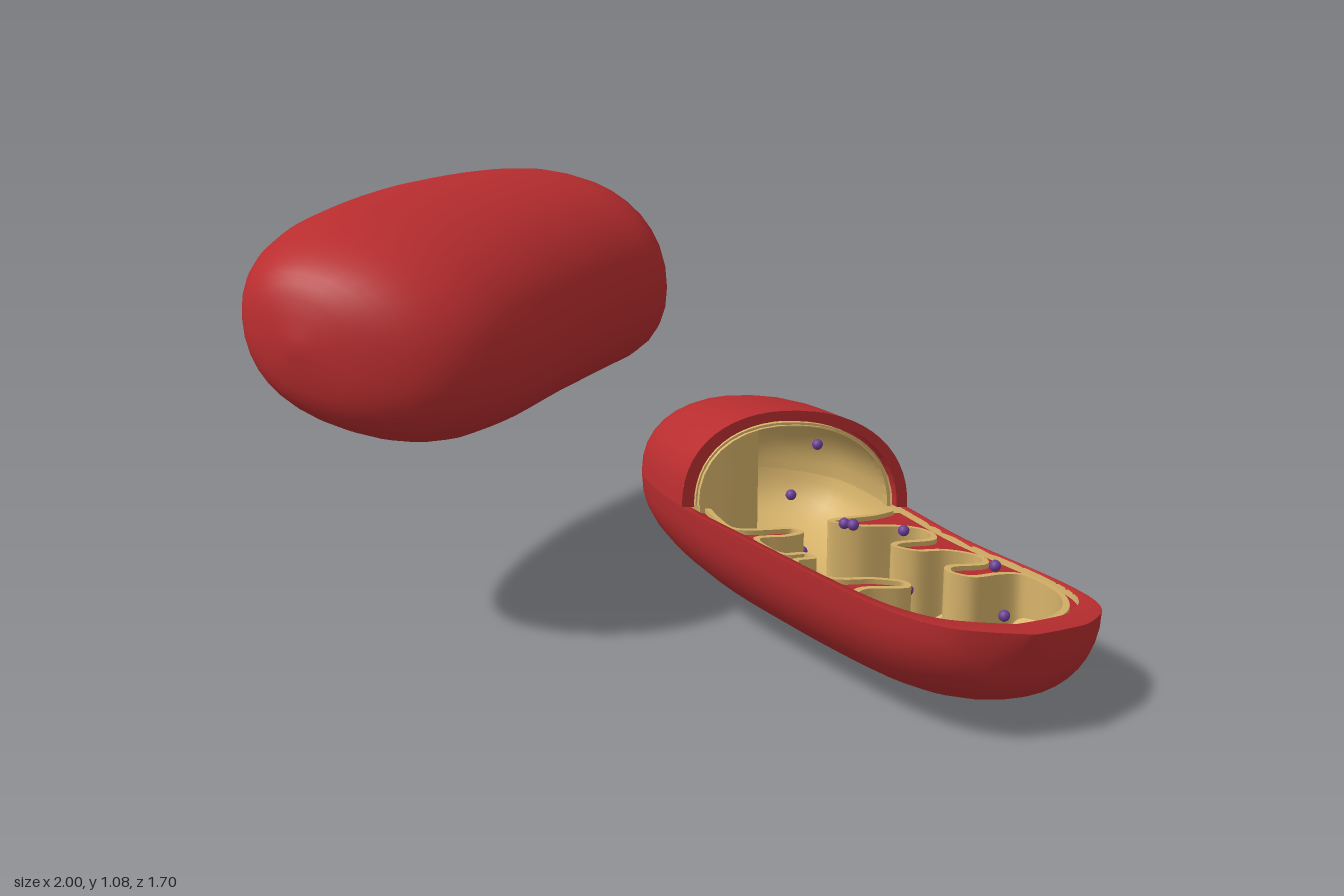
import * as THREE from 'three';
import { mergeVertices } from 'three/addons/utils/BufferGeometryUtils.js';

const mat = (name, color) => new THREE.MeshStandardMaterial({ name, color, side: THREE.DoubleSide });

// Smooth surface through a rows x cols grid of points
function grid(rows, cols, point) {
  const pos = [], idx = [];
  for (let i = 0; i <= rows; i++) for (let j = 0; j <= cols; j++) pos.push(...point(i, j));
  for (let i = 0; i < rows; i++) for (let j = 0; j < cols; j++) {
    const a = i * (cols + 1) + j, c = a + cols + 1;
    idx.push(a, a + 1, c, a + 1, c + 1, c);
  }
  let g = new THREE.BufferGeometry();
  g.setAttribute('position', new THREE.Float32BufferAttribute(pos, 3));
  g.setIndex(idx);
  g = mergeVertices(g, 1e-5);
  g.computeVertexNormals();
  return g;
}

// Bean-shaped body from stations [z, side x, other side x, half height]
function makeBody(table, midY, midX) {
  const a = new THREE.SplineCurve(table.map(r => new THREE.Vector2(r[0], r[1])));
  const b = new THREE.SplineCurve(table.map(r => new THREE.Vector2(r[2], r[3])));
  const section = t => {
    const p = a.getPoint(t), q = b.getPoint(t);
    return { z: p.x, l: p.y, r: q.x, c: (p.y + q.x) / 2, w: (q.x - p.y) / 2, h: q.y };
  };
  const round = v => Math.sign(v) * Math.pow(Math.abs(v), 0.9);
  const planeY = x => midY - 0.16 * (x - midX); // the body leans slightly to one side
  // k scales the width and length, kh the height, around the cut at z = cut
  const point = (t, ang, k = 1, kh = k, cut = 0) => {
    const s = section(t);
    const x = s.c + s.w * k * round(Math.cos(ang));
    return [x, planeY(x) + s.h * kh * round(Math.sin(ang)), cut + (s.z - cut) * k];
  };
  // Height of the scaled surface over the middle plane
  const heightAt = (x, z, k, kh, cut) => {
    let s = section(0), best = 9;
    for (let i = 0; i <= 200; i++) {
      const q = section(i / 200), d = Math.abs(cut + (q.z - cut) * k - z);
      if (d < best) { best = d; s = q; }
    }
    const u = Math.min(1, Math.abs(x - s.c) / Math.max(s.w * k, 1e-4));
    return s.h * kh * Math.pow(1 - Math.pow(u, 2.22), 0.45);
  };
  const loft = (t0, t1, a0, a1, rows, cols, k, kh, cut) => grid(rows, cols, (i, j) =>
    point(t0 + (t1 - t0) * i / rows, a0 + (a1 - a0) * j / cols, k, kh, cut));
  return { section, planeY, point, heightAt, loft };
}

export function createModel() {
  const red = mat('outer red', 0xb92d2f);
  const tan = mat('inner tan', 0xd8b46b);
  const purple = mat('granule purple', 0x6b3f96);
  const model = new THREE.Group();
  const add = (parent, name, geometry, material) => {
    const m = new THREE.Mesh(geometry, material);
    m.name = name;
    parent.add(m);
    return m;
  };
  const PI = Math.PI;

  // Closed capsule
  const whole = makeBody([
    [-0.675, -0.48, -0.48, 0], [-0.64, -0.66, -0.33, 0.14], [-0.57, -0.74, -0.245, 0.215],
    [-0.45, -0.80, -0.18, 0.255], [-0.25, -0.845, -0.19, 0.27], [0, -0.89, -0.195, 0.272],
    [0.3, -0.89, -0.19, 0.265], [0.5, -0.86, -0.215, 0.245], [0.62, -0.81, -0.30, 0.20],
    [0.69, -0.73, -0.44, 0.13], [0.72, -0.60, -0.60, 0],
  ], 0.803, -0.54);
  const closed = new THREE.Group();
  closed.name = 'closedCapsule';
  closed.rotation.y = -0.411;
  add(closed, 'capsuleSkin', whole.loft(0, 1, 0, 2 * PI, 36, 32), red);
  model.add(closed);

  // Open capsule: complete behind the cut, lower half only in front of it
  const CUT = 0.13, TC = 0.4, TURN = 0.467;
  const body = makeBody([
    [-0.335, 0.38, 0.38, 0], [-0.31, 0.22, 0.50, 0.12], [-0.24, 0.08, 0.62, 0.19],
    [-0.13, 0.015, 0.675, 0.235], [CUT, -0.014, 0.668, 0.258], [0.42, 0.012, 0.65, 0.265],
    [0.75, 0.045, 0.685, 0.255], [0.92, 0.08, 0.66, 0.22], [1.02, 0.145, 0.55, 0.165],
    [1.06, 0.23, 0.44, 0.10], [1.085, 0.34, 0.34, 0],
  ], 0.272, 0.335);
  const open = new THREE.Group();
  open.name = 'openCapsule';
  open.rotation.y = TURN;
  model.add(open);
  add(open, 'backSkin', body.loft(0, TC, 0, PI, 16, 18), red);
  add(open, 'lowerSkin', body.loft(0, 1, PI, 2 * PI, 40, 18), red);

  // Rim along the lower half, with a small step down inside
  for (const ang of [PI, 0]) {
    const cols = [[1, 0], [0.93, 0], [0.93, -0.015]];
    add(open, 'lowerRim', grid(30, 2, (i, j) => {
      const p = body.point(TC + (1 - TC) * i / 30, ang, cols[j][0], 1, CUT);
      return [p[0], p[1] + cols[j][1], p[2]];
    }), red);
  }

  // Arched rim where the dome is cut, and the tan lip within it
  const arch = (name, cols, material) => add(open, name, grid(28, cols.length - 1, (i, j) => {
    const p = body.point(TC, PI * i / 28, cols[j][0], cols[j][0], CUT);
    return [p[0], p[1], CUT + cols[j][1]];
  }).toNonIndexed(), material).geometry.computeVertexNormals();
  arch('archRim', [[1, 0], [0.9, 0], [0.9, -0.025], [0.84, -0.025]], red);
  arch('archLip', [[0.87, -0.025], [0.87, -0.01], [0.83, -0.01], [0.83, -0.03]], tan);
  add(open, 'vault', body.loft(0, TC, 0, PI, 14, 18, 0.86, 0.85, CUT), tan);
  add(open, 'trough', body.loft(0, 1, PI, 2 * PI, 40, 18, 0.93, 0.8, CUT), tan);

  // Folded membrane outline in plan, as [x, z] before the body's turn
  const plan = [
    [.12, .09], [.14, .17], [.17, .24], [.23, .22], [.31, .17], [.345, .2], [.3, .26], [.23, .31],
    [.25, .38], [.28, .41], [.33, .38], [.355, .42], [.31, .46], [.32, .51], [.38, .56], [.47, .52],
    [.55, .515], [.55, .57], [.45, .62], [.43, .69], [.52, .77], [.62, .79], [.78, .73], [.89, .6],
    [.92, .46], [.87, .34], [.81, .35], [.73, .41], [.67, .39], [.68, .33], [.77, .27], [.77, .21],
    [.7, .2], [.62, .24], [.56, .22], [.58, .17], [.67, .1], [.67, .03], [.61, .02], [.5, .07],
    [.42, .06], [.45, .01], [.54, -.07], [.6, -.146],
  ];
  const co = Math.cos(TURN), si = Math.sin(TURN);
  const folds = new THREE.SplineCurve(plan.map(([x, z]) =>
    new THREE.Vector2(x * co - z * si, Math.max(CUT, x * si + z * co))));
  const N = 220, line = folds.getPoints(N);

  // Red deck between the rim and the folds
  const outline = [];
  for (let i = 0; i <= 30; i++) outline.push(body.point(TC + (1 - TC) * i / 30, PI, 0.97, 1, CUT));
  for (let i = 29; i >= 0; i--) outline.push(body.point(TC + (1 - TC) * i / 30, 0, 0.97, 1, CUT));
  const deck = new THREE.ShapeGeometry(new THREE.Shape(
    [...outline.map(p => new THREE.Vector2(p[0], p[2])), ...line.slice().reverse()]));
  const dp = deck.attributes.position;
  for (let i = 0; i < dp.count; i++) {
    const x = dp.getX(i), z = dp.getY(i);
    dp.setXYZ(i, x, body.planeY(x) - 0.016, z);
  }
  deck.computeVertexNormals();
  add(open, 'foldDeck', deck, red);

  // Tan lip and wall that follow the folds down to the trough
  const strip = (name, cols) => add(open, name, grid(N, cols.length - 1, (i, j) => {
    const p = line[i], d = folds.getTangent(i / N), [off, y] = cols[j];
    const x = p.x - d.y * off, z = Math.max(CUT, p.y + d.x * off);
    const drop = y === 'floor' ? -Math.max(0.02, body.heightAt(p.x, p.y, 0.93, 0.8, CUT)) : y;
    return [x, body.planeY(x) + drop, z];
  }), tan);
  strip('foldLipSide', [[0.016, -0.018], [0.016, -0.004]]);
  strip('foldLip', [[0.016, -0.004], [0, -0.004]]);
  strip('foldWall', [[0, -0.004], [0, 'floor']]);

  // Curved fold hanging under the dome
  const bend = new THREE.SplineCurve([[.06, .09], [.16, .085], [.23, .07], [.265, .02], [.26, -.07], [.2, -.17]]
    .map(p => new THREE.Vector2(...p)));
  add(open, 'domeFold', grid(24, 4, (i, j) => {
    const p = bend.getPoint(i / 24);
    const top = body.heightAt(p.x, p.y, 0.86, 0.85, CUT);
    const low = -body.heightAt(p.x, p.y, 0.93, 0.8, CUT);
    return [p.x, body.planeY(p.x) + low + (top - low) * j / 4, p.y];
  }), tan);

  // Small granules
  const ball = new THREE.SphereGeometry(0.014, 12, 8);
  [[.29, .2, 0], [.33, .31, -.02], [.395, .445, -.02], [.35, .2, .1], [.44, .32, .23], [.58, .315, .27],
    [.58, .2, .37], [.44, .38, .41], [.76, .31, .5], [.785, .19, .51], [.625, .19, .635]]
    .forEach(p => add(model, 'granule', ball, purple).position.set(...p));

  return model;
}
